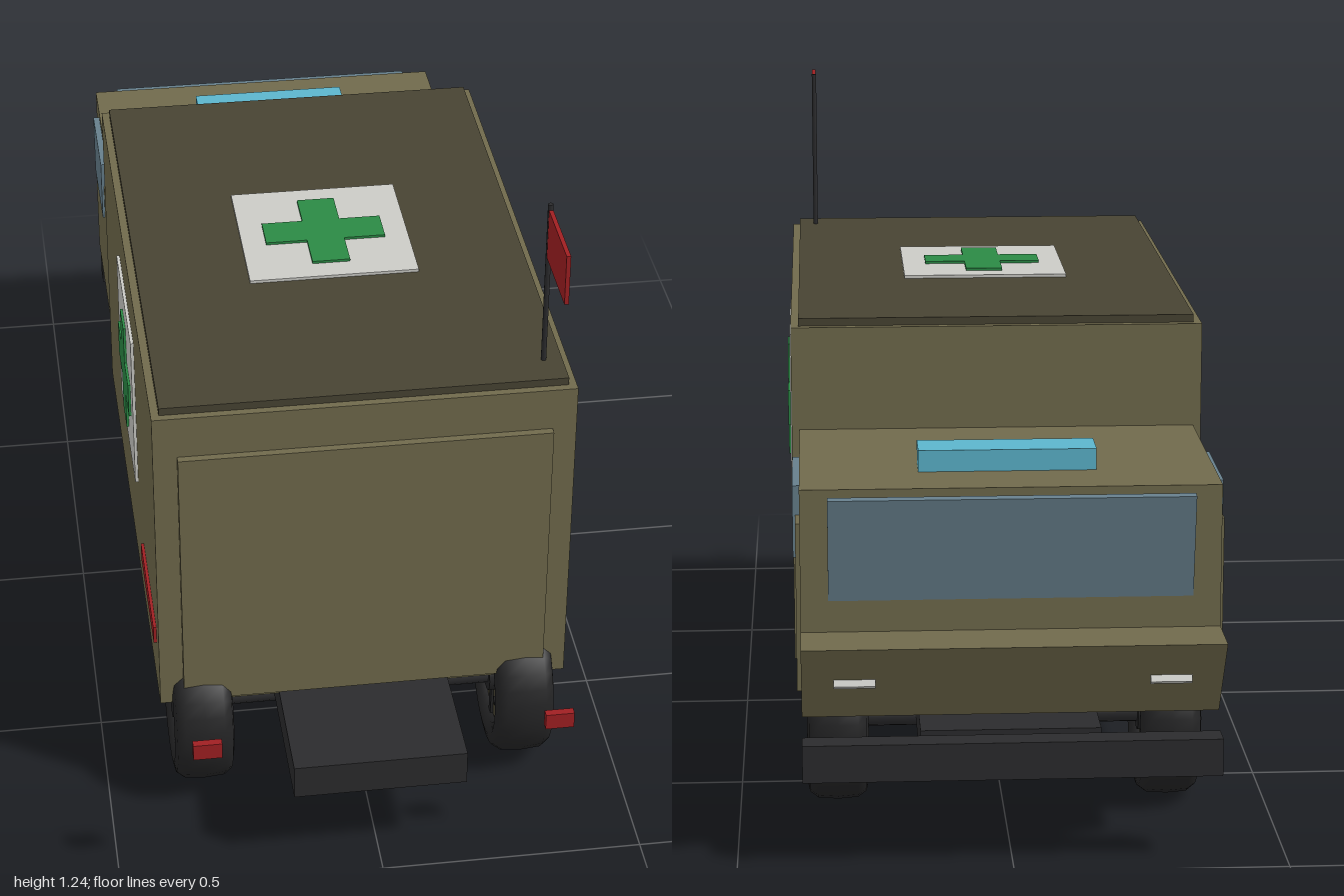
import * as THREE from 'three';

const mat = (name, color) => new THREE.MeshStandardMaterial({ name, color });

export function createModel() {
  const olive = mat('olive', 0x706a4c), roofDark = mat('dark olive', 0x484433);
  const black = mat('chassis black', 0x2b2b2d), rubber = mat('rubber', 0x242425);
  const white = mat('white', 0xcbcbc6), green = mat('green', 0x2b8a45);
  const red = mat('red', 0xa01f22), glass = mat('glass', 0x667f8c), cyan = mat('beacon cyan', 0x5cb5cc);

  const model = new THREE.Group();
  const add = (name, geometry, material, parent = model) => {
    const mesh = new THREE.Mesh(geometry, material);
    mesh.name = name;
    parent.add(mesh);
    return mesh;
  };
  // Box given by its minimum and maximum on each axis
  const box = (name, material, [x0, x1], [y0, y1], [z0, z1], parent) => {
    const mesh = add(name, new THREE.BoxGeometry(x1 - x0, y1 - y0, z1 - z0), material, parent);
    mesh.position.set((x0 + x1) / 2, (y0 + y1) / 2, (z0 + z1) / 2);
    return mesh;
  };

  // Rear compartment
  box('body', olive, [-0.395, 0.395], [0.23, 0.89], [-0.43, 0.73]);
  box('roof', roofDark, [-0.38, 0.38], [0.89, 0.905], [-0.415, 0.715]);
  box('rearDoor', olive, [-0.35, 0.35], [0.245, 0.805], [0.72, 0.745]);

  // Cab with sloped nose (profile runs forward along -z)
  box('cab', olive, [-0.38, 0.38], [0.265, 0.69], [-0.89, -0.42]);
  const noseShape = new THREE.Shape([[0.88, 0.265], [0.89, 0.265], [1, 0.425], [0.88, 0.425]]
    .map(([u, v]) => new THREE.Vector2(u, v)));
  const nose = new THREE.ExtrudeGeometry(noseShape, { depth: 0.76, bevelEnabled: false });
  nose.translate(0, 0, -0.38).rotateY(Math.PI / 2);
  add('nose', nose, olive);
  const windshield = add('windshield', new THREE.BoxGeometry(0.66, 0.2, 0.015), glass);
  windshield.position.set(0, 0.58, -0.899);
  windshield.rotation.x = -0.17;
  box('beacon', cyan, [-0.163, 0.163], [0.69, 0.73], [-0.77, -0.69]);

  // Chassis, bumper and axles
  box('chassis', black, [-0.165, 0.165], [0.165, 0.235], [-0.89, 0.96]);
  box('bumper', black, [-0.38, 0.38], [0.165, 0.235], [-0.965, -0.917]);

  // Medical sign lying in the xy plane, facing +z
  const crossShape = new THREE.Shape();
  const a = 0.118, b = 0.037;
  [[-b, -a], [b, -a], [b, -b], [a, -b], [a, b], [b, b], [b, a], [-b, a], [-b, b], [-a, b], [-a, -b], [-b, -b]]
    .forEach(([x, y], i) => (i ? crossShape.lineTo(x, y) : crossShape.moveTo(x, y)));
  const crossGeo = new THREE.ExtrudeGeometry(crossShape, { depth: 0.005, bevelEnabled: false });
  const sign = (name) => {
    const group = new THREE.Group();
    group.name = name;
    box('signPanel', white, [-0.165, 0.165], [-0.165, 0.165], [0, 0.007], group);
    add('signCross', crossGeo, green, group).position.z = 0.007;
    model.add(group);
    return group;
  };
  const top = sign('roofSign');
  top.position.set(0, 0.904, 0.147);
  top.rotation.x = -Math.PI / 2;

  // Wheel parts, axis along x
  const tyreGeo = new THREE.LatheGeometry([
    [0.1, -0.03], [0.103, -0.05], [0.125, -0.058], [0.145, -0.054], [0.157, -0.038], [0.16, 0],
    [0.157, 0.038], [0.145, 0.054], [0.125, 0.058], [0.103, 0.05], [0.1, 0.03],
  ].map(([r, h]) => new THREE.Vector2(r, h)), 32).rotateZ(Math.PI / 2);
  const rimGeo = new THREE.CylinderGeometry(0.104, 0.104, 0.076, 28).rotateZ(Math.PI / 2);
  const hubGeo = new THREE.CylinderGeometry(0.038, 0.038, 0.105, 18).rotateZ(Math.PI / 2);
  const boltGeo = new THREE.CylinderGeometry(0.009, 0.009, 0.088, 8).rotateZ(Math.PI / 2);
  const axleGeo = new THREE.CylinderGeometry(0.022, 0.022, 0.6, 14).rotateZ(Math.PI / 2);
  const wheel = (x, z) => {
    const group = new THREE.Group();
    group.name = 'wheel';
    group.position.set(x, 0.162, z);
    add('tyre', tyreGeo, rubber, group);
    add('rim', rimGeo, roofDark, group);
    add('hub', hubGeo, rubber, group);
    for (let i = 0; i < 4; i++) {
      const spoke = add('spoke', new THREE.BoxGeometry(0.086, 0.075, 0.018), rubber, group);
      const t = i * Math.PI / 2;
      spoke.position.set(0, Math.cos(t) * 0.066, Math.sin(t) * 0.066);
      spoke.rotation.x = t;
      const bolt = add('bolt', boltGeo, rubber, group);
      bolt.position.set(0, Math.cos(t + 0.785) * 0.06, Math.sin(t + 0.785) * 0.06);
    }
    model.add(group);
  };
  for (const z of [0.635, -0.575]) {
    add('axle', axleGeo, black).position.set(0, 0.162, z);
    for (const s of [1, -1]) wheel(s * 0.314, z);
  }

  // Mirrored side details
  for (const s of [1, -1]) {
    const span = (p, q) => (s > 0 ? [p, q] : [-q, -p]);
    box('cabDoor', olive, span(0.375, 0.388), [0.305, 0.62], [-0.86, -0.53]);
    box('cabWindow', glass, span(0.375, 0.393), [0.54, 0.675], [-0.8, -0.585]);
    box('sideStripe', red, span(0.392, 0.401), [0.343, 0.38], [0.415, 0.685]);
    box('tailLight', red, span(0.303, 0.357), [0.312, 0.345], [0.985, 1]);
    const side = sign('sideSign');
    side.position.set(s * 0.394, 0.625, 0.152);
    side.rotation.y = s * Math.PI / 2;
    const lamp = add('headlight', new THREE.BoxGeometry(0.075, 0.024, 0.012), white);
    lamp.position.set(s * 0.285, 0.35, -0.947);
    lamp.rotation.x = 0.6;
  }

  // Antenna with flag
  const antenna = add('antenna', new THREE.CylinderGeometry(0.005, 0.005, 0.34, 10), black);
  antenna.position.set(0.345, 1.07, 0.647);
  box('flag', red, [0.341, 0.349], [1.13, 1.23], [0.653, 0.813]);

  return model;
}
